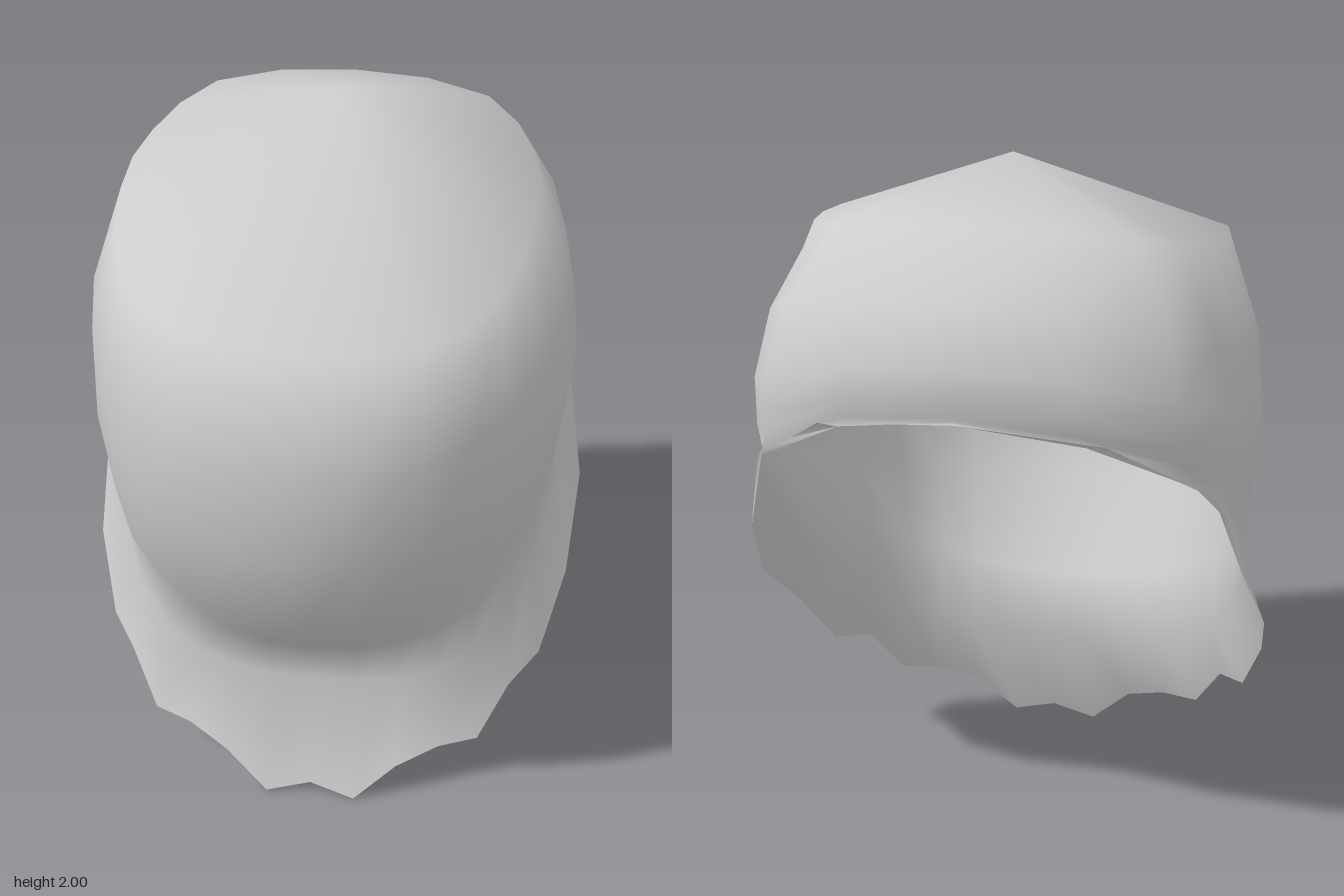
import * as THREE from 'three';

// Half cross-sections of the cap from crown to neck; each runs front centre -> left side -> back centre
const RINGS = [
  // shoulder under the conical crown
  [[0, 1.66, .67], [.3, 1.67, .6], [.47, 1.7, .4], [.54, 1.78, .08], [.52, 1.81, -.2], [.38, 1.87, -.42], [0, 1.9, -.48]],
  // upper bulge
  [[0, 1.36, .745], [.32, 1.38, .67], [.52, 1.42, .45], [.635, 1.5, .08], [.62, 1.56, -.25], [.48, 1.7, -.55], [0, 1.76, -.68]],
  // widest part
  [[0, 1.08, .73], [.33, 1.1, .64], [.52, 1.15, .44], [.655, 1.22, .08], [.66, 1.36, -.25], [.52, 1.53, -.6], [0, 1.62, -.74]],
  // lower bulge
  [[0, .79, .64], [.29, .82, .57], [.49, .88, .41], [.63, 1.0, .08], [.65, 1.2, -.25], [.53, 1.42, -.6], [0, 1.55, -.74]],
  // underside of the bulge
  [[0, .54, .41], [.24, .57, .39], [.44, .65, .31], [.6, .82, .1], [.63, 1.08, -.23], [.54, 1.36, -.58], [0, 1.5, -.735]],
  // neck, where the flare begins
  [[0, .36, .33], [.24, .37, .32], [.45, .45, .26], [.6, .66, .08], [.65, .97, -.24], [.56, 1.3, -.56], [0, 1.49, -.733]],
];

// Scalloped rim: flared at the front and sides, plain at the back
const RIM = [
  [0, .04, .44], [.13, 0, .45], [.25, .12, .42], [.37, .17, .37], [.48, .18, .33], [.56, .33, .25], [.64, .37, .14],
  [.7, .57, 0], [.72, .77, -.22], [.67, 1.0, -.4], [.6, 1.25, -.5], [.36, 1.44, -.69], [0, 1.48, -.73],
];

const COLUMNS = 24;

// Complete a half section into a closed loop by mirroring in x
function mirrorLoop(half) {
  const left = half.map(p => new THREE.Vector3(...p));
  const right = half.slice(1, -1).reverse().map(([x, y, z]) => new THREE.Vector3(-x, y, z));
  return [...left, ...right];
}

// Smooth closed section sampled at a fixed number of columns
function smoothLoop(half) {
  const curve = new THREE.CatmullRomCurve3(mirrorLoop(half), true);
  return Array.from({ length: COLUMNS }, (_, i) => curve.getPoint(i / COLUMNS));
}

// Join the loops from top to bottom and close the top with a fan
function loft(apex, loops) {
  const points = [apex, ...loops.flat()];
  const index = [];
  const at = (ring, col) => 1 + ring * COLUMNS + (col % COLUMNS);
  for (let c = 0; c < COLUMNS; c++) {
    index.push(0, at(0, c), at(0, c + 1));
    for (let r = 0; r < loops.length - 1; r++) {
      index.push(at(r + 1, c), at(r + 1, c + 1), at(r, c + 1));
      index.push(at(r + 1, c), at(r, c + 1), at(r, c));
    }
  }
  const geometry = new THREE.BufferGeometry().setFromPoints(points);
  geometry.setIndex(index);
  geometry.computeVertexNormals();
  return geometry;
}

export function createModel() {
  const group = new THREE.Group();
  group.name = 'flaredCap';

  const lightGrey = new THREE.MeshStandardMaterial({ color: 0xcccccc, side: THREE.DoubleSide });
  lightGrey.name = 'lightGrey';

  // Open shell: pointed crown, full bulge, pinched neck and scalloped flare
  const loops = [...RINGS.map(smoothLoop), mirrorLoop(RIM)];
  const shell = new THREE.Mesh(loft(new THREE.Vector3(0, 2, -.12), loops), lightGrey);
  shell.name = 'capShell';
  group.add(shell);

  return group;
}
